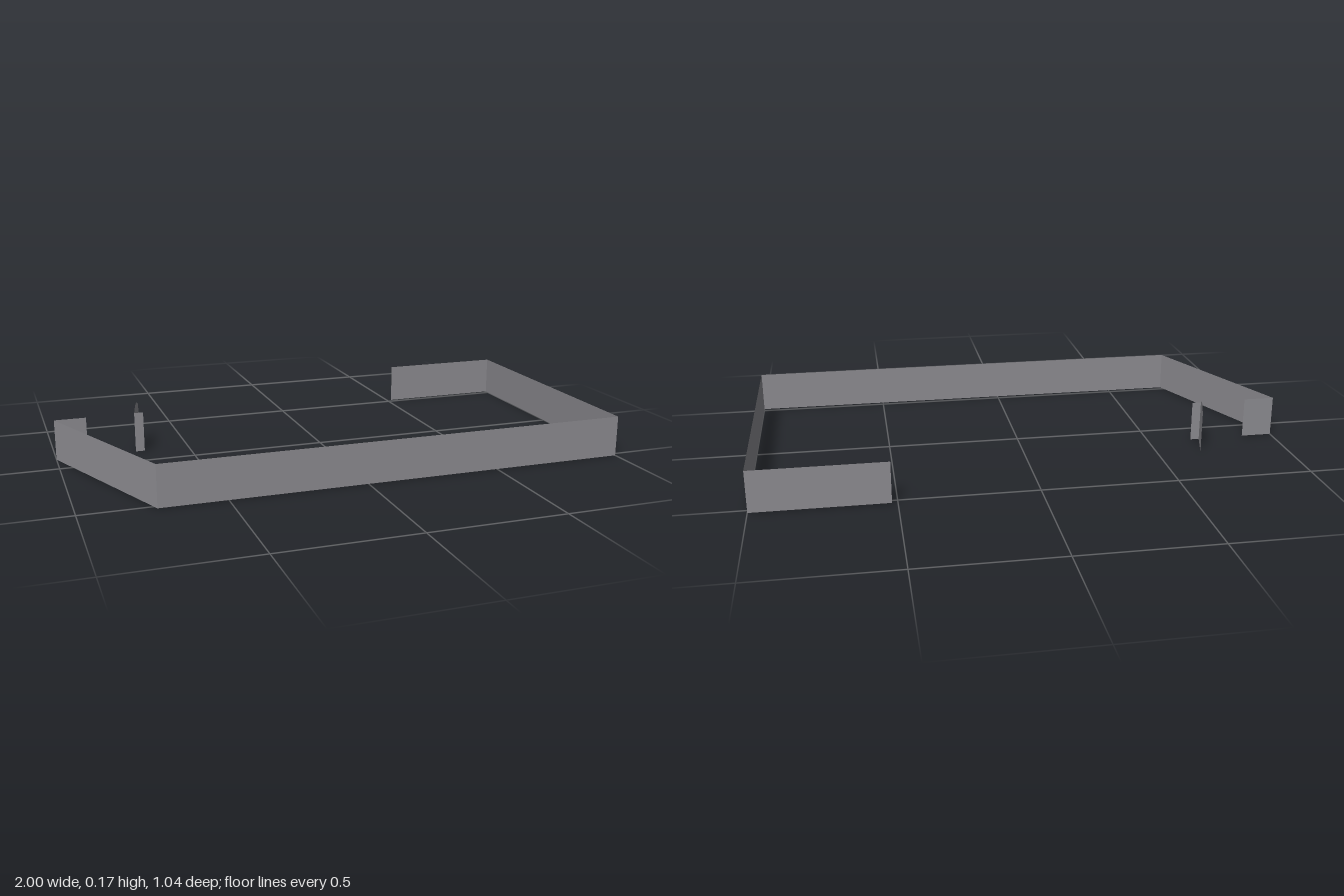
import * as THREE from 'three';

const HEIGHT = 0.152;

export function createModel() {
  const group = new THREE.Group();
  const wallGrey = new THREE.MeshStandardMaterial({ color: 0x8c8b90, side: THREE.DoubleSide });
  wallGrey.name = 'wallGrey';

  // Thin upright sheet between two plan points [x, z]; rise adds a chamfered crest
  function sheet(name, [x0, z0], [x1, z1], rise = 0) {
    const length = Math.hypot(x1 - x0, z1 - z0);
    const outline = new THREE.Shape();
    outline.moveTo(0, 0);
    outline.lineTo(length, 0);
    outline.lineTo(length, HEIGHT);
    if (rise > 0) {
      outline.lineTo(length * 0.66, HEIGHT + rise);
      outline.lineTo(length * 0.34, HEIGHT + rise);
    }
    outline.lineTo(0, HEIGHT);
    const mesh = new THREE.Mesh(new THREE.ShapeGeometry(outline), wallGrey);
    mesh.name = name;
    mesh.position.set(x0, 0, z0);
    mesh.rotation.y = -Math.atan2(z1 - z0, x1 - x0);
    group.add(mesh);
  }

  // Perimeter walls, open at the back
  const plan = [[-0.883, -0.115], [-1, -0.115], [-0.74, 0.52], [1, 0.52], [1, -0.52], [0.52, -0.52]];
  const names = ['backLeftReturn', 'angledWall', 'frontWall', 'sideWall', 'backWall'];
  names.forEach((name, i) => sheet(name, plan[i], plan[i + 1]));

  // Freestanding crested panel with its short return
  sheet('crestedPanel', [-0.703, -0.12], [-0.666, -0.25], 0.02);
  sheet('panelReturn', [-0.703, -0.12], [-0.669, -0.12]);

  return group;
}
